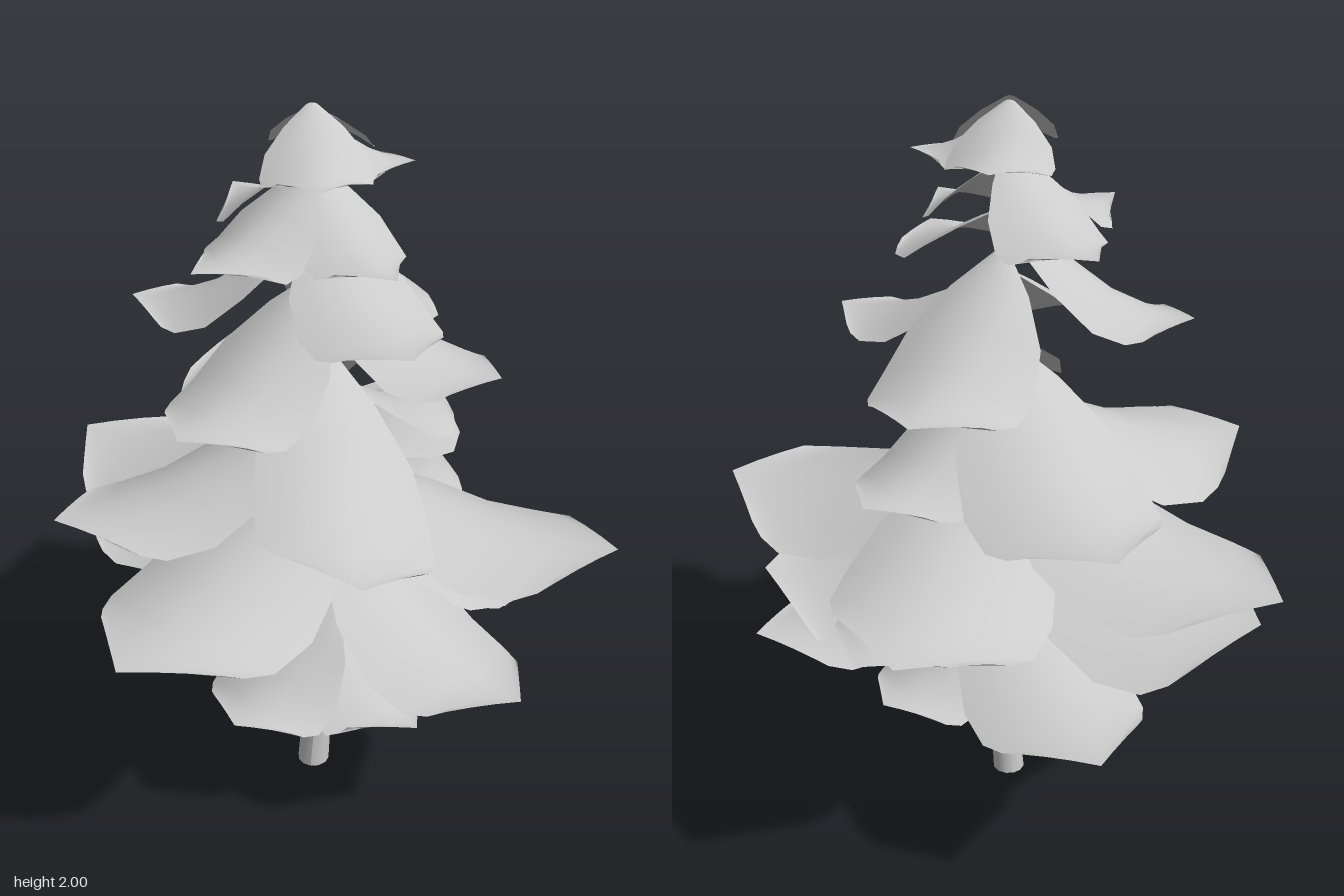
import * as THREE from 'three';

const material = new THREE.MeshStandardMaterial({ color: 0xcccccc, side: THREE.DoubleSide });

// Gently bent centre line of the trunk
const trunkLine = new THREE.CatmullRomCurve3([
  [-0.035, 0, 0.04], [-0.01, 0.4, 0.035], [0, 0.8, 0.035],
  [-0.005, 1.4, 0.03], [-0.03, 1.97, 0.03],
].map((p) => new THREE.Vector3(...p)));

// Point of the trunk line at a given height
const trunkAt = (y) => {
  let lo = 0, hi = 1;
  for (let i = 0; i < 20; i++) {
    const mid = (lo + hi) / 2;
    if (trunkLine.getPoint(mid).y < y) lo = mid; else hi = mid;
  }
  return trunkLine.getPoint(lo);
};

// Bough rows: [distance, half width, drop], each as a share of the whole
const rows = [
  [0, 0.1, 0], [0.15, 0.52, 0.2], [0.35, 0.88, 0.48],
  [0.58, 1, 0.8], [0.8, 0.97, 0.97], [0.92, 0.84, 1.01], [1, 0.7, 1],
];
const ACROSS = 6;

// One drooping bough: arched across, rolled sideways, blunt pointed at the end
function bough(azimuth, length, halfWidth, rootY, tipY, roll = 0) {
  const root = trunkAt(rootY);
  const a = THREE.MathUtils.degToRad(azimuth);
  const c = Math.cos(a), s = Math.sin(a);
  const point = length < 0.4 ? 0.34 : 0.18; // short boughs end in a sharper point
  const pos = [], index = [];
  rows.forEach(([t, w, d], i) => {
    for (let j = 0; j <= ACROSS; j++) {
      const u = (j / ACROSS) * 2 - 1;
      const out = length * t * (1 - point * t * Math.abs(u));
      const side = u * w * halfWidth;
      const arch = 0.3 * halfWidth * u * u * Math.sin(Math.PI * (t * 0.9 + 0.03));
      const y = rootY - (rootY - tipY) * d - arch + roll * side;
      pos.push(root.x + out * c - side * s, y, root.z + out * s + side * c);
      if (i && j) {
        const k = i * (ACROSS + 1) + j, p = k - ACROSS - 1;
        index.push(p - 1, k, p, p - 1, k - 1, k);
      }
    }
  });
  const geo = new THREE.BufferGeometry();
  geo.setAttribute('position', new THREE.Float32BufferAttribute(pos, 3));
  geo.setIndex(index);
  geo.computeVertexNormals();
  return new THREE.Mesh(geo, material);
}

// Tiers from the ground up: azimuth (0 = +x, 90 = +z), length, half width, root y, tip y, roll
const tiers = {
  skirt: [
    [116, 0.41, 0.19, 0.72, 0.42], [40, 0.39, 0.19, 0.62, 0.38],
    [210, 0.36, 0.18, 0.6, 0.42], [308, 0.41, 0.18, 0.62, 0.42],
  ],
  lower: [
    [31, 0.66, 0.23, 0.92, 0.59, 0.12], [-30, 0.68, 0.2, 0.82, 0.62],
    [238, 0.71, 0.23, 0.74, 0.54],
  ],
  belowMiddle: [
    [-14, 0.64, 0.26, 0.93, 0.71, 0.25], [193, 0.75, 0.26, 0.9, 0.71, -0.3],
    [290, 0.66, 0.21, 0.94, 0.76],
  ],
  middle: [
    [4, 0.78, 0.27, 1.06, 0.89, 0.12], [116, 0.82, 0.27, 1.06, 0.88],
    [203, 0.84, 0.28, 1.08, 0.89], [276, 0.79, 0.27, 1.07, 0.89, 0.12],
  ],
  aboveMiddle: [
    [72, 0.63, 0.22, 1.38, 1.08, 0.25], [150, 0.72, 0.25, 1.23, 1.02, -0.12],
    [236, 0.69, 0.24, 1.39, 1.1], [-58, 0.48, 0.18, 1.3, 1.08],
  ],
  upper: [
    [282, 0.54, 0.2, 1.62, 1.37], [16, 0.48, 0.16, 1.56, 1.4],
    [119, 0.52, 0.19, 1.58, 1.34], [181, 0.48, 0.15, 1.7, 1.48],
  ],
  high: [
    [54, 0.48, 0.17, 1.73, 1.56], [127, 0.38, 0.15, 1.85, 1.69],
    [48, 0.35, 0.13, 1.85, 1.69], [225, 0.37, 0.15, 1.87, 1.7],
  ],
  crown: [
    [75, 0.26, 0.13, 2, 1.88], [-5, 0.24, 0.11, 1.96, 1.87],
    [270, 0.25, 0.13, 1.99, 1.88],
  ],
};

export function createModel() {
  const tree = new THREE.Group();
  tree.name = 'coniferTree';

  // Tapered trunk, bent along its centre line
  const geo = new THREE.CylinderGeometry(0.008, 0.046, 1, 12, 14);
  const p = geo.attributes.position;
  for (let i = 0; i < p.count; i++) {
    const c = trunkLine.getPoint(THREE.MathUtils.clamp(p.getY(i) + 0.5, 0, 1));
    p.setXYZ(i, p.getX(i) + c.x, c.y, p.getZ(i) + c.z);
  }
  geo.computeVertexNormals();
  const trunk = new THREE.Mesh(geo, material);
  trunk.name = 'trunk';
  tree.add(trunk);

  // Boughs
  for (const [name, boughs] of Object.entries(tiers)) {
    const tier = new THREE.Group();
    tier.name = `${name}Boughs`;
    boughs.forEach((spec, i) => {
      const mesh = bough(...spec);
      mesh.name = `${name}Bough${i + 1}`;
      tier.add(mesh);
    });
    tree.add(tier);
  }
  return tree;
}
